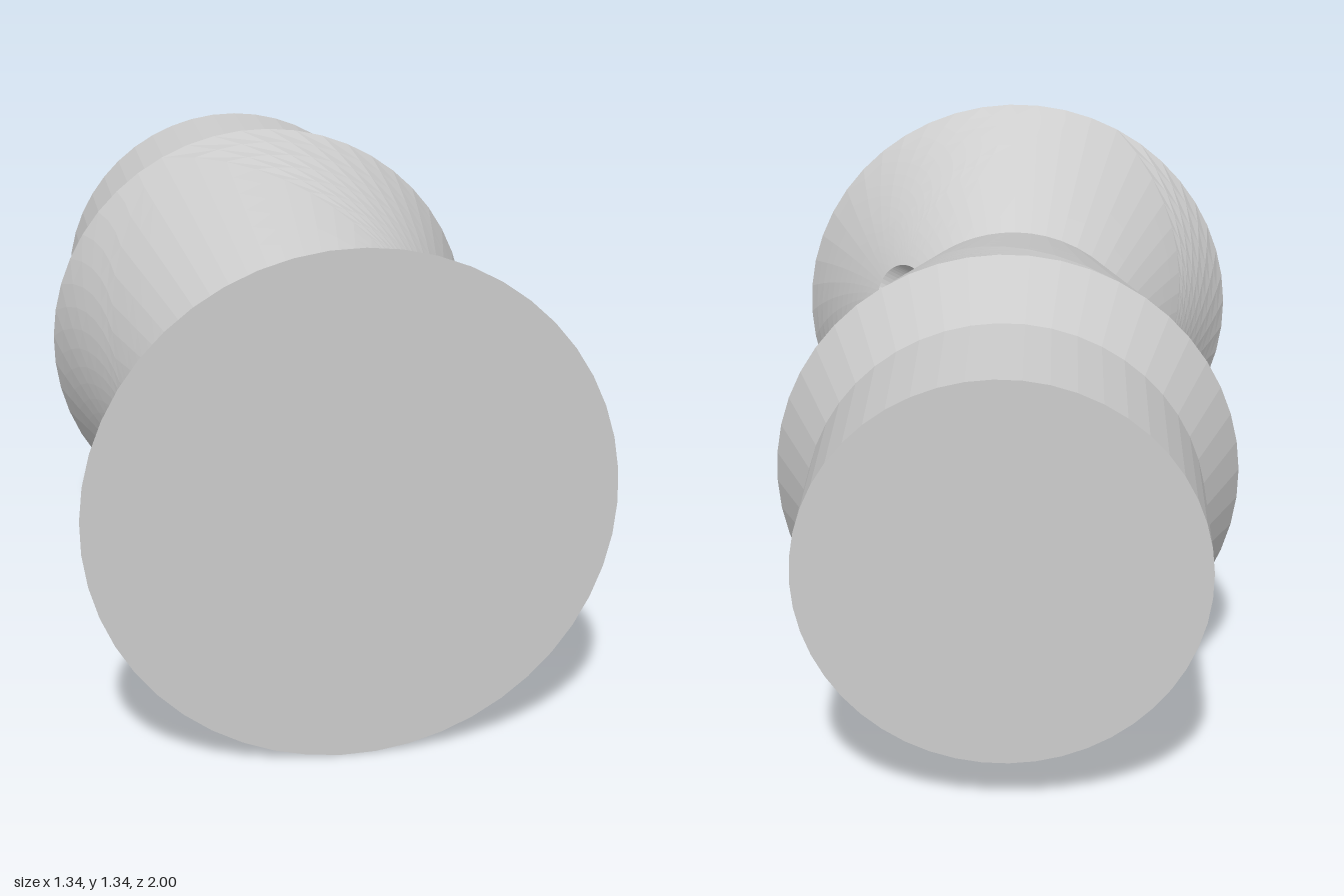
import * as THREE from 'three';
import { ParametricGeometry } from 'three/addons/geometries/ParametricGeometry.js';

const SEG = 48;                       // facets around the axis
const AXIS_Y = 0.67;                  // height of the lying body's axis
const NECK_Z = 0.52, FRONT_Z = 1, RIDGE_Z = -0.37;
const FRONT_R = 0.668, NECK_R = 0.4, RIDGE_R = 0.62, BACK_R = 0.518;
const BORE_R = 0.105;                 // cross hole through the neck
const BORE_TILT = THREE.MathUtils.degToRad(28);

// Radius of the flare and barrel at a position along the axis
function radiusAt(z) {
  return z > NECK_Z
    ? THREE.MathUtils.mapLinear(z, NECK_Z, FRONT_Z, NECK_R, FRONT_R)
    : THREE.MathUtils.mapLinear(z, NECK_Z, RIDGE_Z, NECK_R, RIDGE_R);
}

// Outline of half the unrolled wall as [angle, z], walked once around
function wallOutline() {
  const h = Math.PI / 2;
  const corners = [
    [-h, FRONT_Z, SEG / 2], [h, FRONT_Z, 5], [h, NECK_Z, 8],
    [h, RIDGE_Z, SEG / 2], [-h, RIDGE_Z, 8], [-h, NECK_Z, 5],
  ];
  const points = [];
  corners.forEach(([a, z, steps], i) => {
    const [a2, z2] = corners[(i + 1) % corners.length];
    for (let s = 0; s < steps; s++) {
      const k = s / steps;
      points.push([a + (a2 - a) * k, z + (z2 - z) * k]);
    }
  });
  points.push(points[0]);
  return points;
}

export function createModel() {
  const model = new THREE.Group();
  model.name = 'flaredBody';
  const solid = new THREE.MeshStandardMaterial({ color: 0xcccccc, flatShading: true });
  const open = solid.clone();
  open.side = THREE.DoubleSide;

  // Everything shares the tilt of the cross hole
  const body = new THREE.Group();
  body.name = 'body';
  body.position.y = AXIS_Y;
  body.rotation.z = BORE_TILT;
  model.add(body);

  function add(name, geometry, material) {
    const mesh = new THREE.Mesh(geometry, material);
    mesh.name = name;
    body.add(mesh);
    return mesh;
  }

  const outline = wallOutline();
  const count = outline.length - 1;
  const boreAngle = (u) => {
    const [a, z] = outline[Math.round(u * count) % count];
    return Math.atan2(a * 0.45, z - NECK_Z);
  };

  // Half of the flare and barrel wall, spreading from the hole's rim
  const wall = new ParametricGeometry((u, v, target) => {
    const [a, z] = outline[Math.round(u * count) % count];
    const t = boreAngle(u);
    const rimZ = NECK_Z + BORE_R * Math.cos(t);
    const rimA = Math.asin(BORE_R * Math.sin(t) / radiusAt(rimZ));
    const k = v * v * 0.4 + v * 0.6;
    const angle = THREE.MathUtils.lerp(rimA, a, k);
    const pz = THREE.MathUtils.lerp(rimZ, z, k);
    const r = radiusAt(pz);
    target.set(r * Math.cos(angle), r * Math.sin(angle), pz);
  }, count, 14);
  add('leftWall', wall, open);
  add('rightWall', wall, open).rotation.z = Math.PI;

  // Inner wall of the cross hole, running from rim to rim
  const bore = new ParametricGeometry((u, v, target) => {
    const t = boreAngle(u);
    const z = NECK_Z + BORE_R * Math.cos(t);
    const y = BORE_R * Math.sin(t);
    const reach = Math.sqrt(radiusAt(z) ** 2 - y * y);
    target.set((1 - 2 * v) * reach, y, z);
  }, count, 2);
  add('crossHole', bore, open);

  // Tapered shoulder, straight rear sleeve and its end face
  const rear = new THREE.LatheGeometry([
    new THREE.Vector2(0, -1), new THREE.Vector2(BACK_R, -1),
    new THREE.Vector2(BACK_R, -0.61), new THREE.Vector2(RIDGE_R, RIDGE_Z),
  ], SEG);
  rear.rotateX(Math.PI / 2);
  add('rearSleeve', rear, solid);

  // Flat face closing the flare
  add('frontFace', new THREE.CircleGeometry(FRONT_R, SEG), solid).position.z = FRONT_Z;

  return model;
}
